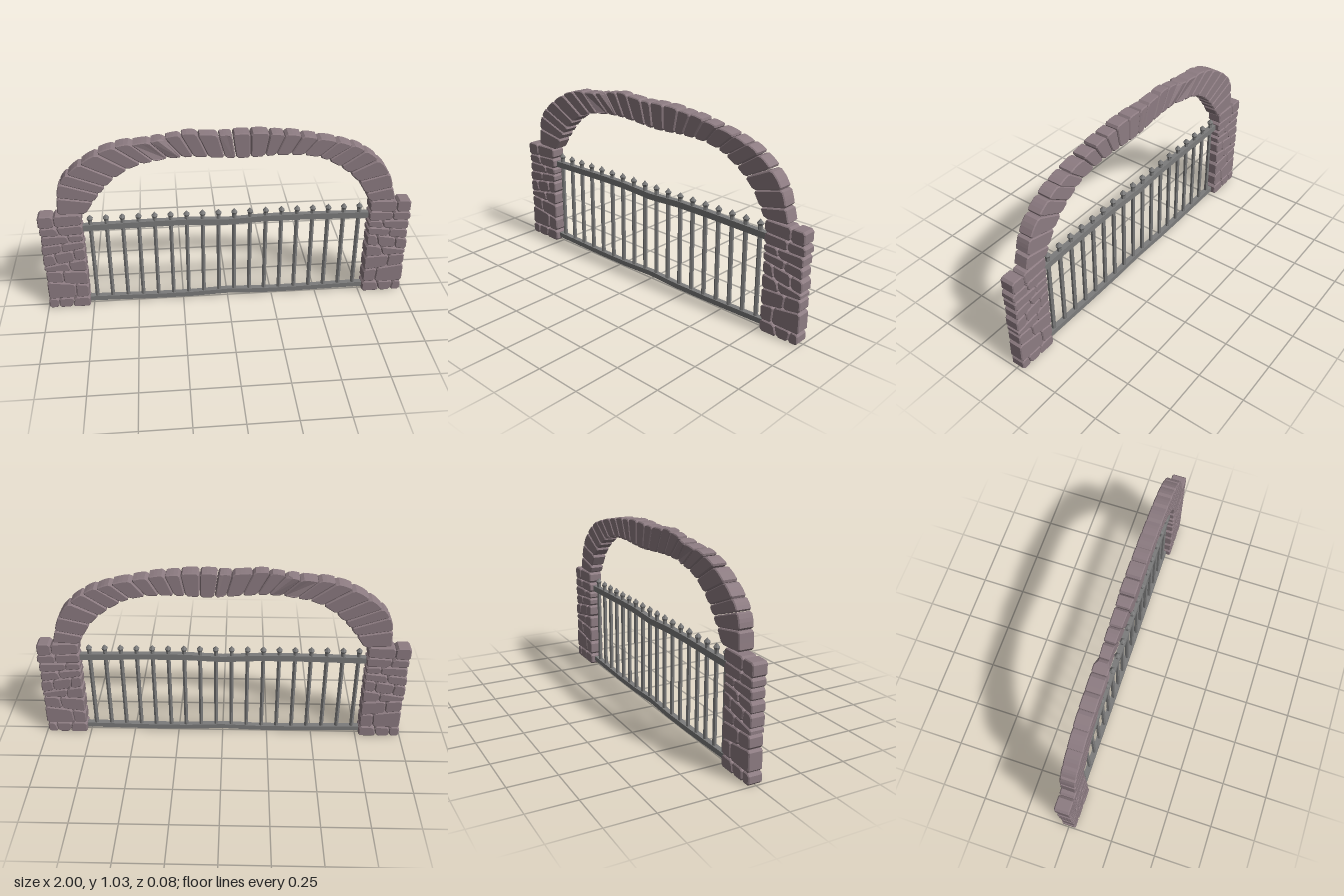
import * as THREE from 'three';

const stoneMat = new THREE.MeshStandardMaterial({ color: 0x8d7c82, flatShading: true });
const ironMat = new THREE.MeshStandardMaterial({ color: 0x7c7c7c, flatShading: true });

// small seeded generator, -1..1
let seed = 7;
const jitter = (a) => {
  seed = (seed * 16807) % 2147483647;
  return (seed / 2147483647 * 2 - 1) * a;
};
const mix = (a, b, t) => a + (b - a) * t;

// chamfered stone from its four corners (anticlockwise, seen from the front)
function stone(name, corners, halfDepth) {
  const pts = [];
  const n = corners.length;
  corners.forEach((c, i) => {
    for (const other of [corners[(i + n - 1) % n], corners[(i + 1) % n]]) {
      const len = Math.hypot(other[0] - c[0], other[1] - c[1]);
      const t = Math.min(0.012 / len, 0.22);
      pts.push(new THREE.Vector2(mix(c[0], other[0], t), mix(c[1], other[1], t)));
    }
  });
  const bevel = 0.005;
  const geo = new THREE.ExtrudeGeometry(new THREE.Shape(pts), {
    depth: 2 * (halfDepth - bevel), bevelEnabled: true, bevelSegments: 1,
    bevelThickness: bevel, bevelSize: bevel, bevelOffset: -bevel,
  });
  geo.translate(0, 0, -(halfDepth - bevel));
  const mesh = new THREE.Mesh(geo, stoneMat);
  mesh.name = name;
  return mesh;
}

// courses of the pillar: heights of the bed joint at inner and outer side, then joints across
const courses = [
  [0, 0, [0.86, 0.94]],
  [0.065, 0.06, [0.84]],
  [0.145, 0.175, [0.9]],
  [0.235, 0.245, [0.86]],
  [0.315, 0.275, [0.83, 0.93]],
  [0.385, 0.345, [0.89]],
  [0.43, 0.405, [0.85]],
  [0.47, 0.465, [0.9]],
  [0.53, 0.515, [0.915]],
  [0.595, 0.59, []],
];

function pillar(side) {
  const group = new THREE.Group();
  group.name = side > 0 ? 'leftPillar' : 'rightPillar';
  const x0 = 0.766, x1 = 0.994, gap = 0.0012;
  for (let r = 0; r < courses.length - 1; r++) {
    const [bi, bo, joints] = courses[r];
    const [ti, to] = courses[r + 1];
    const low = (x) => mix(bi, bo, (x - x0) / (x1 - x0)) + (r ? gap : 0);
    const high = (x) => mix(ti, to, (x - x0) / (x1 - x0)) - gap;
    const lean = joints.map(() => jitter(0.008));
    const xs = [x0 + Math.abs(jitter(0.003)), ...joints, x1 + jitter(0.006)];
    for (let i = 0; i < xs.length - 1; i++) {
      const la = i ? lean[i - 1] : 0, lb = lean[i] ?? 0;
      const a = xs[i] + gap, b = xs[i + 1] - gap;
      let c = [
        [a - la, low(a - la)], [b - lb, low(b - lb)],
        [b + lb, high(b + lb)], [a + la, high(a + la)],
      ];
      if (side < 0) c = c.map(([x, y]) => [-x, y]).reverse();
      group.add(stone('pillarStone', c, 0.039 + jitter(0.001)));
    }
  }
  return group;
}

// arch stones between an outer and an inner curve
function arch() {
  const group = new THREE.Group();
  group.name = 'arch';
  const curve = (list) => new THREE.CatmullRomCurve3(list.map(([x, y]) => new THREE.Vector3(x, y, 0)), false, 'centripetal');
  const outer = curve([[-0.89, 0.595], [-0.865, 0.77], [-0.72, 0.91], [-0.58, 0.97], [-0.41, 0.995], [-0.22, 1.025],
    [-0.07, 1.018], [0.14, 1.02], [0.28, 1.01], [0.44, 0.985], [0.58, 0.955], [0.72, 0.89], [0.84, 0.78], [0.9, 0.595]]);
  const inner = curve([[-0.745, 0.595], [-0.68, 0.69], [-0.58, 0.8], [-0.47, 0.865], [-0.34, 0.89], [-0.18, 0.898],
    [0.06, 0.885], [0.28, 0.893], [0.44, 0.88], [0.54, 0.84], [0.68, 0.73], [0.76, 0.595]]);
  const count = 25;
  const cuts = [];
  for (let i = 0; i <= count; i++) {
    const end = i === 0 || i === count;
    const t = i / count + (end ? 0 : jitter(0.006));
    cuts.push([t, end ? t : t + jitter(0.005)]);
  }
  const g = 0.0009;
  for (let i = 0; i < count; i++) {
    const [o0, i0] = cuts[i], [o1, i1] = cuts[i + 1];
    const bulge = jitter(0.005);
    const at = (c, t, dy = 0) => { const p = c.getPointAt(t); return [p.x, p.y + dy]; };
    const c = [
      at(inner, i0 + g), at(inner, i1 - g),
      at(outer, o1 - g, bulge), at(outer, (o0 + o1) / 2, bulge + 0.003), at(outer, o0 + g, bulge),
    ];
    const mesh = stone('archStone', c, 0.04);
    // the stones left of the crown narrow in depth
    const p = mesh.geometry.attributes.position;
    for (let k = 0; k < p.count; k++) {
      const x = p.getX(k);
      if (x > -0.35 && x < 0) p.setZ(k, p.getZ(k) * mix(0.62, 0.92, (x + 0.35) / 0.35));
    }
    mesh.geometry.computeVertexNormals();
    group.add(mesh);
  }
  return group;
}

// slightly bowed flat rail, given the height of its middle line along x
function rail(name, line, half) {
  const top = line.map(([x, y]) => new THREE.Vector2(x, y + half));
  const bottom = line.map(([x, y]) => new THREE.Vector2(x, y - half)).reverse();
  const geo = new THREE.ExtrudeGeometry(new THREE.Shape([...top, ...bottom]), { depth: 0.03, bevelEnabled: false });
  geo.translate(0, 0, -0.015);
  const mesh = new THREE.Mesh(geo, ironMat);
  mesh.name = name;
  return mesh;
}

function fence() {
  const group = new THREE.Group();
  group.name = 'fence';
  group.add(rail('topRail', [[-0.78, 0.495], [-0.4, 0.503], [-0.2, 0.503], [0, 0.493], [0.2, 0.503], [0.4, 0.503], [0.78, 0.495]], 0.017));
  group.add(rail('bottomRail', [[-0.78, 0.034], [-0.4, 0.027], [-0.2, 0.027], [0, 0.036], [0.2, 0.027], [0.4, 0.027], [0.78, 0.034]], 0.014));
  // bars with small pointed caps
  const barGeo = new THREE.CylinderGeometry(0.012, 0.012, 0.51, 6);
  const capGeo = new THREE.LatheGeometry([[0, 0.535], [0.012, 0.535], [0.018, 0.548], [0.0, 0.57]].map(([r, y]) => new THREE.Vector2(r, y)), 6);
  for (let i = 0; i < 18; i++) {
    const bar = new THREE.Group();
    bar.name = 'bar';
    const shaft = new THREE.Mesh(barGeo, ironMat);
    shaft.name = 'barShaft';
    shaft.position.y = 0.285;
    const cap = new THREE.Mesh(capGeo, ironMat);
    cap.name = 'barCap';
    bar.add(shaft, cap);
    bar.position.x = -0.729 + i * 0.0851;
    group.add(bar);
  }
  return group;
}

export function createModel() {
  seed = 7;
  const model = new THREE.Group();
  model.name = 'archedGateway';
  model.add(pillar(1), pillar(-1), arch(), fence());
  return model;
}
